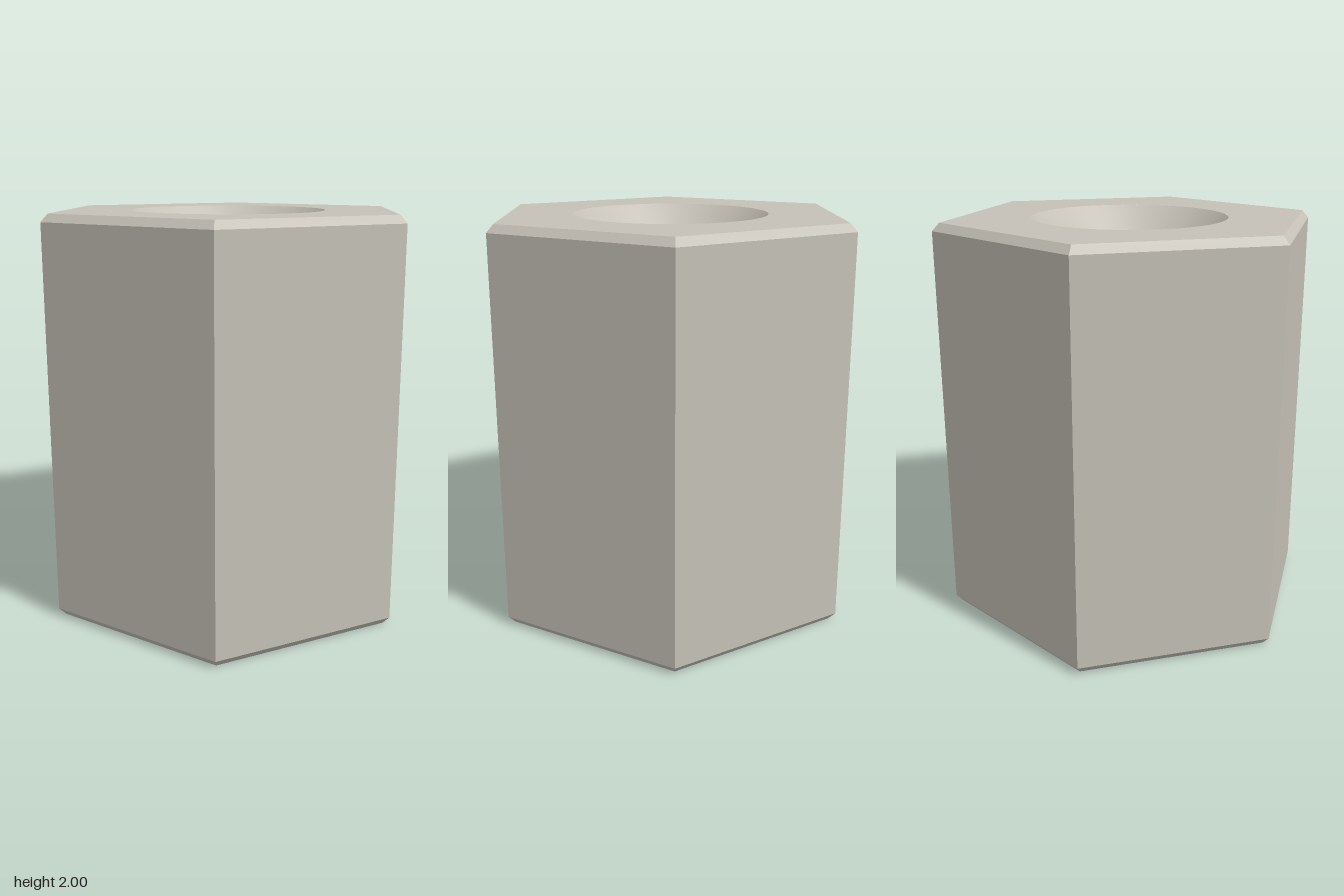
import * as THREE from 'three';
import { toCreasedNormals } from 'three/addons/utils/BufferGeometryUtils.js';

const HEIGHT = 2;
const BEVEL = 0.038;       // height of the outer edge bevel
const OUTER = 0.958;       // corner radius of the hexagon
const RIM = 0.922;         // corner radius of the end faces
const BORE = 0.335;        // hole radius
const MOUTH = 0.482;       // countersink radius
const SINK = 0.148;        // countersink depth
const TURN = THREE.MathUtils.degToRad(12.1);

const metal = new THREE.MeshStandardMaterial({ color: 0xc5c1b7 });
metal.name = 'warm grey metal';

// Revolves a profile of [radius, height] pairs, keeping real edges sharp
function revolve(name, profile, sides, start = 0) {
  const points = profile.map(([r, y]) => new THREE.Vector2(r, y));
  const geometry = new THREE.LatheGeometry(points, sides, start);
  const mesh = new THREE.Mesh(toCreasedNormals(geometry, Math.PI / 6), metal);
  mesh.name = name;
  return mesh;
}

// Hexagonal end face with the round countersink opening
function endFace(name, y, up) {
  const corners = [];
  for (let i = 0; i < 6; i++) {
    const a = (i * Math.PI) / 3 - up * TURN;
    corners.push(new THREE.Vector2(RIM * Math.cos(a), RIM * Math.sin(a)));
  }
  const shape = new THREE.Shape(corners);
  shape.holes.push(new THREE.Path().absarc(0, 0, MOUTH, 0, Math.PI * 2, true));
  const geometry = new THREE.ShapeGeometry(shape, 72);
  geometry.rotateX((-up * Math.PI) / 2);
  geometry.translate(0, y, 0);
  const mesh = new THREE.Mesh(geometry, metal);
  mesh.name = name;
  return mesh;
}

export function createModel() {
  const group = new THREE.Group();
  group.name = 'hexSpacer';

  // Six-sided body with bevelled ends
  group.add(revolve('hexBody', [
    [RIM, 0], [OUTER, BEVEL], [OUTER, HEIGHT - BEVEL], [RIM, HEIGHT],
  ], 6, Math.PI / 2 - TURN));

  // Through hole, countersunk at both ends; runs downward so it faces inward
  group.add(revolve('countersunkBore', [
    [MOUTH, HEIGHT], [BORE, HEIGHT - SINK], [BORE, SINK], [MOUTH, 0],
  ], 72));

  group.add(endFace('topFace', HEIGHT, 1), endFace('bottomFace', 0, -1));
  return group;
}
